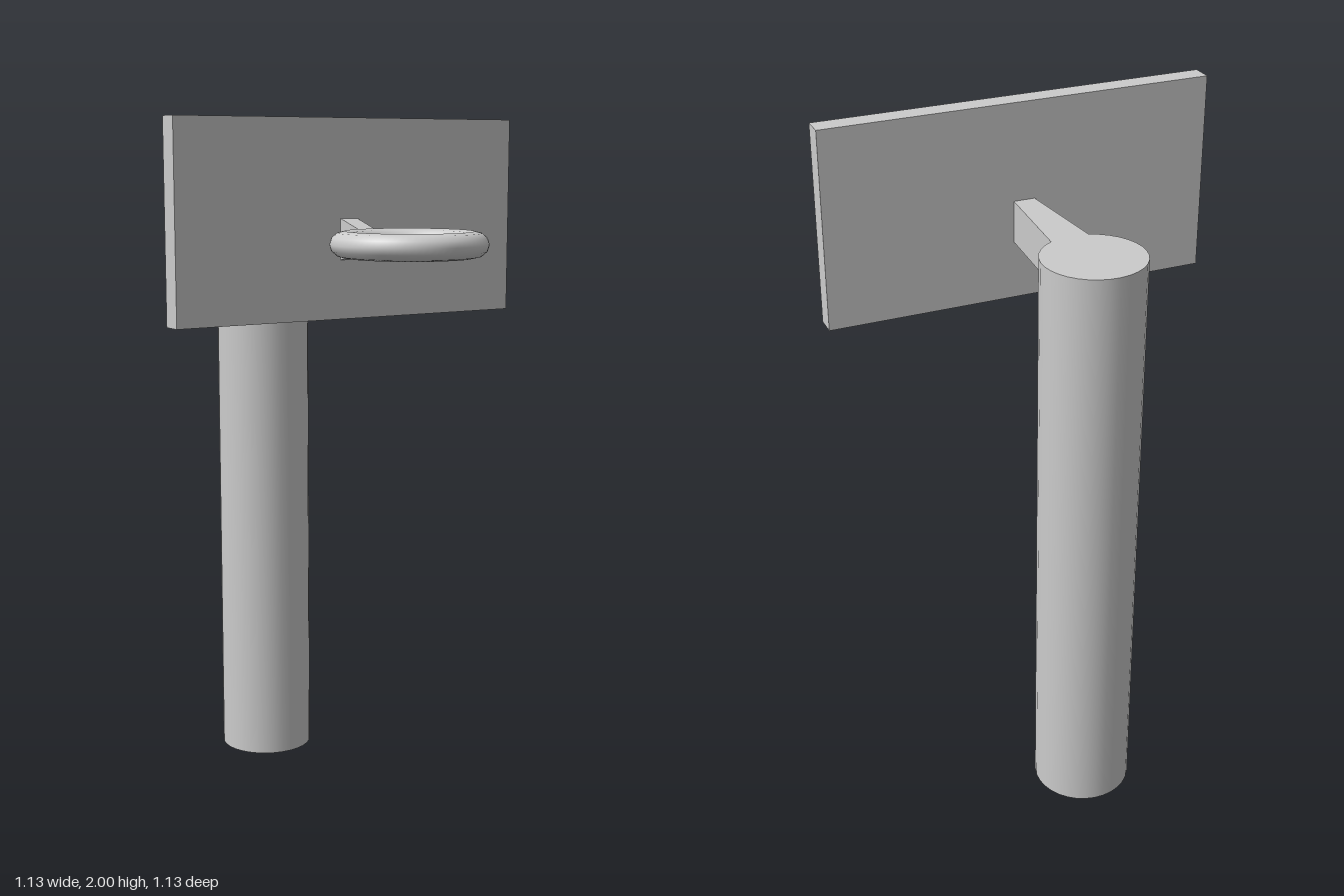
import * as THREE from 'three';

const material = new THREE.MeshStandardMaterial({ color: 0xcccccc });

function add(group, name, geometry, x = 0, y = 0, z = 0) {
  const mesh = new THREE.Mesh(geometry, material);
  mesh.name = name;
  mesh.position.set(x, y, z);
  group.add(mesh);
  return mesh;
}

// Box running along x whose two ends differ: { x, y, z, height, width }
function taperedBar(start, end) {
  const geometry = new THREE.BoxGeometry(1, 1, 1);
  const p = geometry.attributes.position;
  for (let i = 0; i < p.count; i++) {
    const s = p.getX(i) < 0 ? start : end;
    p.setXYZ(i, s.x, s.y + p.getY(i) * s.height, s.z + p.getZ(i) * s.width);
  }
  geometry.computeVertexNormals();
  return geometry;
}

// Flat-lying ring, its -x side cut back to two flared flanks beside the bracket
function ringGeometry(radius, tube) {
  const geometry = new THREE.TorusGeometry(radius, tube, 12, 72);
  geometry.rotateX(Math.PI / 2);
  geometry.scale(1, 0.86, 1);
  const p = geometry.attributes.position;
  for (let i = 0; i < p.count; i++) {
    const flank = -0.208 + 0.27 * Math.max(0, Math.abs(p.getZ(i)) - 0.028);
    if (p.getX(i) < 0) p.setX(i, Math.max(p.getX(i), Math.min(flank, -radius)));
  }
  return geometry;
}

export function createModel() {
  const model = new THREE.Group();
  model.name = 'basketballHoop';

  // Upright post
  add(model, 'post', new THREE.CylinderGeometry(0.142, 0.142, 1.72, 32), -0.427, 0.86, 0);

  // Arm narrowing from the post to the board
  add(model, 'arm', taperedBar(
    { x: -0.36, y: 1.659, z: -0.002, height: 0.121, width: 0.122 },
    { x: 0.02, y: 1.659, z: 0.009, height: 0.121, width: 0.057 },
  ));

  // Backboard, turned slightly about the vertical
  const board = add(model, 'backboard', new THREE.BoxGeometry(0.061, 0.57, 1.13), 0.022, 1.715, -0.002);
  board.rotation.y = -0.054;

  // Bracket thinning towards the ring
  add(model, 'ringBracket', taperedBar(
    { x: 0.045, y: 1.659, z: 0.01, height: 0.121, width: 0.057 },
    { x: 0.16, y: 1.657, z: 0.014, height: 0.056, width: 0.057 },
  ));

  // Ring
  const ring = add(model, 'ring', ringGeometry(0.176, 0.042), 0.345, 1.657, 0.018);
  ring.rotation.y = -0.054;

  return model;
}
